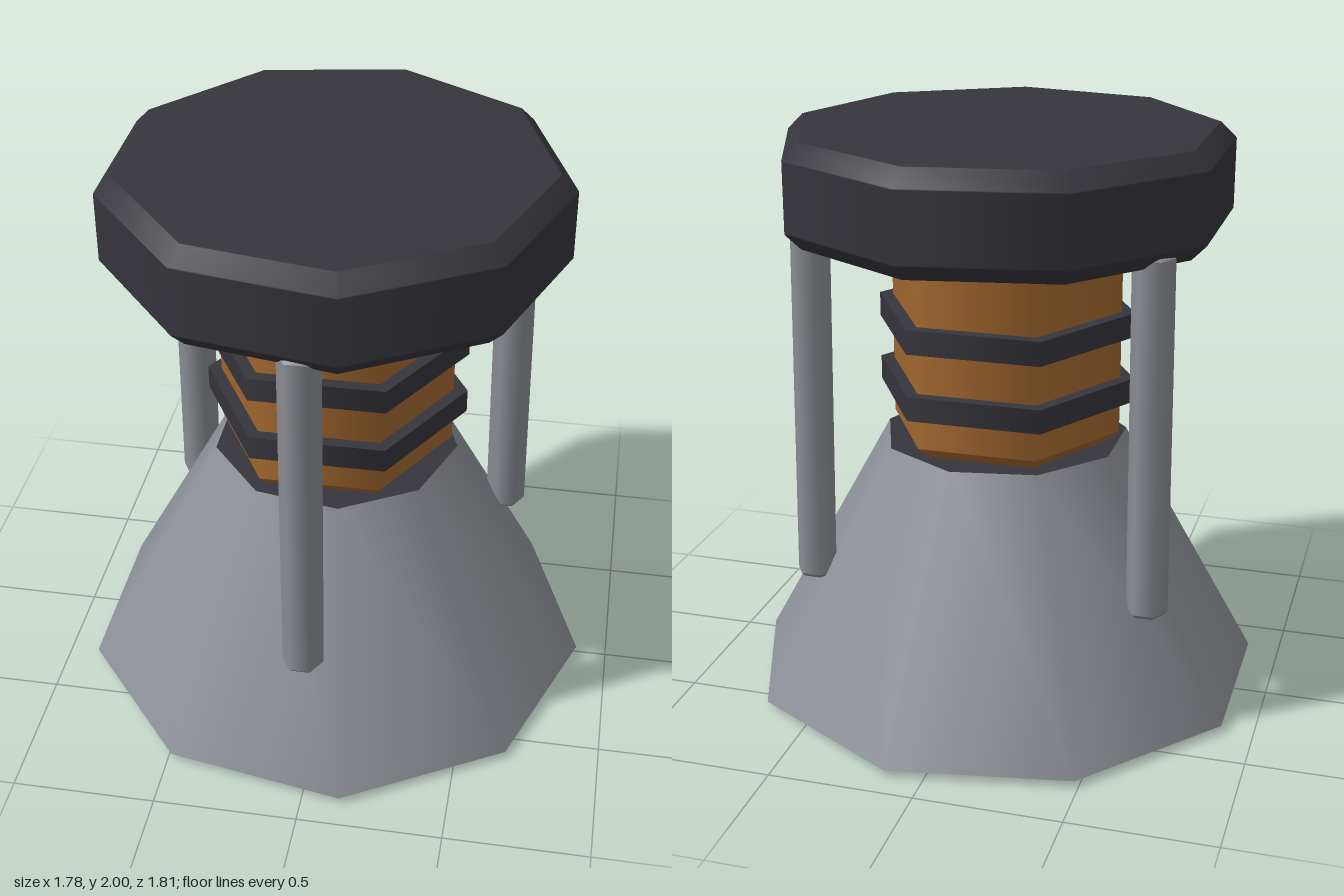
import * as THREE from 'three';
import { mergeGeometries } from 'three/addons/utils/BufferGeometryUtils.js';

const mat = (name, color) => {
  const m = new THREE.MeshStandardMaterial({ color });
  m.name = name;
  return m;
};

// Turned shape with a corner on +x, smooth all over; profile is [radius, y] pairs
const smoothTurned = (profile, sides) => new THREE.LatheGeometry(
  profile.map(([r, y]) => new THREE.Vector2(r, y)), sides, Math.PI / 2);

// Turned shape that is smooth around its axis but sharp at each profile point
const ringed = (profile, sides) => mergeGeometries(
  profile.slice(1).map((p, i) => smoothTurned([profile[i], p], sides)));

export function createModel() {
  const grey = mat('steel grey', 0x8c8f96);
  const dark = mat('charcoal', 0x36353c);
  const copper = mat('copper', 0xa4682f);
  const teal = mat('teal', 0x5ba3b2);

  const model = new THREE.Group();
  model.name = 'rocketEngine';
  // The nine-sided parts have a corner on +x, so the axis sits slightly to -x
  const body = new THREE.Group();
  body.name = 'engineBody';
  body.position.x = -0.028;
  model.add(body);

  const add = (name, geometry, material, parent = body) => {
    const mesh = new THREE.Mesh(geometry, material);
    mesh.name = name;
    parent.add(mesh);
    return mesh;
  };

  // Nozzle: outer skin, top ledge, rim and lining
  add('nozzleSkin', ringed([[0.918, 0.023], [0.433, 0.905]], 9), grey);
  add('nozzleLedge', ringed([[0.433, 0.905], [0, 0.905]], 9), dark);
  add('nozzleRim', ringed([[0.845, 0], [0.918, 0.023]], 9), copper);
  add('nozzleLining', ringed([[0, 0.86], [0.371, 0.86], [0.845, 0]], 9), teal);

  // Hexagonal core with two bands
  add('core', ringed([[0, 0.906], [0.37, 0.906], [0.412, 0.946], [0.412, 1.66]], 6), copper);
  for (const y of [1.06, 1.295]) {
    add('coreBand', ringed([[0.38, y], [0.46, y], [0.46, y + 0.085], [0.38, y + 0.085]], 6), dark);
  }

  // Top plate with soft bevels; close rings keep the flat faces flat
  add('topPlate', smoothTurned([[0, 1.648], [0.724, 1.648], [0.729, 1.648], [0.784, 1.703],
    [0.784, 1.708], [0.784, 1.94], [0.784, 1.945], [0.729, 2], [0.724, 2], [0, 2]], 9), dark);

  // Three struts, splayed slightly outwards at the foot
  const length = 1.255, r = 0.0715, bevel = 0.015;
  const strutShape = ringed([[0, 0], [r - bevel, 0], [r, bevel], [r, length - bevel],
    [r - bevel, length], [0, length]], 6);
  for (let i = 0; i < 3; i++) {
    const mount = new THREE.Group();
    mount.name = 'strutMount';
    mount.rotation.y = i * Math.PI * 2 / 3;
    body.add(mount);
    const strut = add('strut', strutShape, grey, mount);
    strut.position.set(0, 0.433, 0.687);
    strut.rotation.x = -0.013;
  }

  return model;
}
